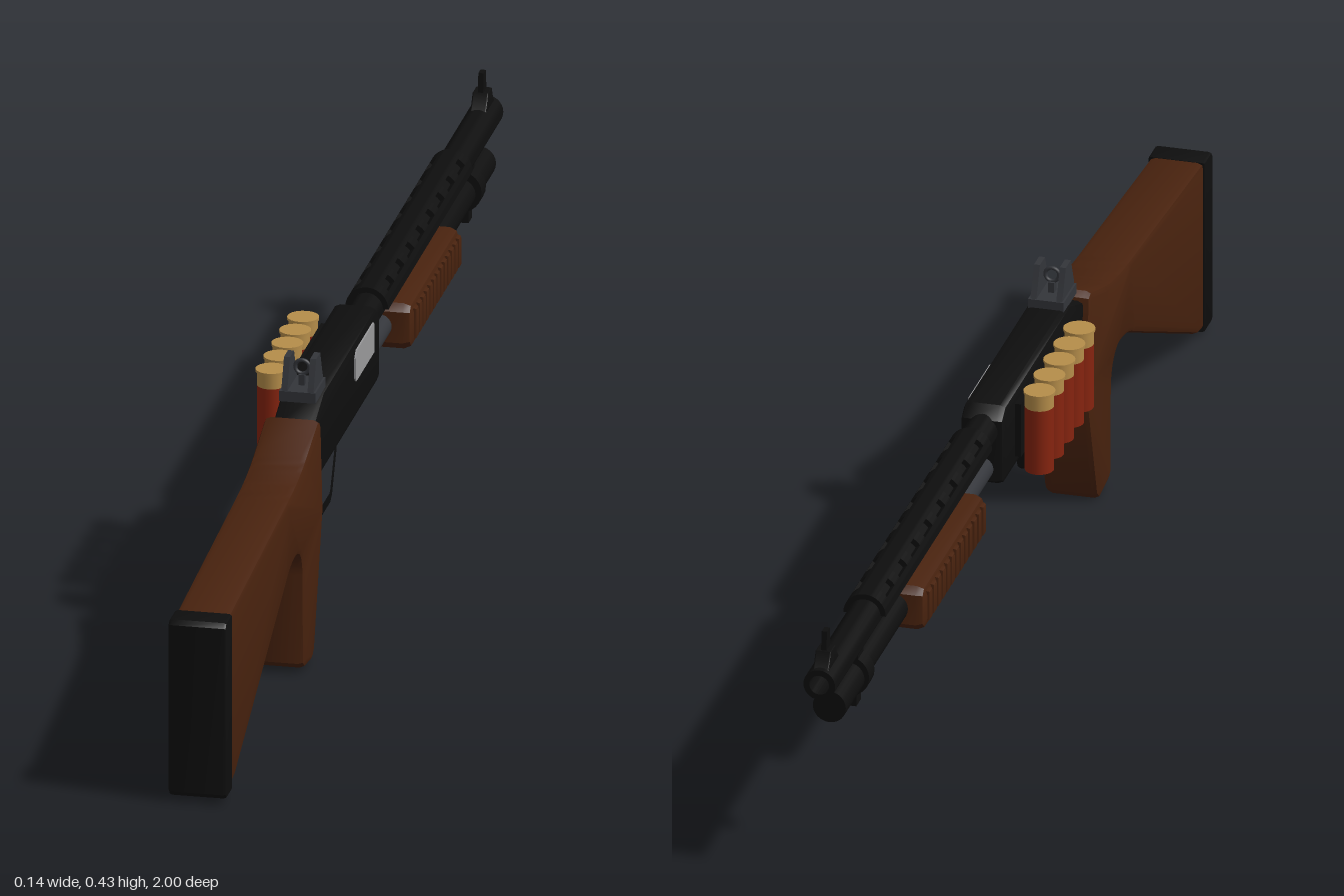
import * as THREE from 'three';
import { toCreasedNormals } from 'three/addons/utils/BufferGeometryUtils.js';

const CX = 0.0165; // x of the bore line
const mat = (name, color, extra = {}) => {
  const m = new THREE.MeshStandardMaterial({ color, ...extra });
  m.name = name;
  return m;
};

export function createModel() {
  const group = new THREE.Group();
  const black = mat('blackSteel', 0x0e0e0e);
  const wood = mat('walnut', 0x48220e);
  const steel = mat('darkGreySteel', 0x33353a);
  const silver = mat('silverBolt', 0x98989a);
  const brass = mat('brass', 0xb58d4a);
  const red = mat('redHull', 0x86240f);

  const add = (name, geo, material, x = 0, y = 0, z = 0) => {
    const m = new THREE.Mesh(geo, material);
    m.name = name;
    m.position.set(x, y, z);
    group.add(m);
    return m;
  };
  const poly = (pts) => new THREE.Shape(pts.map(([z, y]) => new THREE.Vector2(z, y)));
  // Side profile in (z, y), given thickness across x, with chamfered edges
  const slab = (name, shape, width, bevel, material, x = CX) => {
    const geo = new THREE.ExtrudeGeometry(shape, {
      depth: width - 2 * bevel, bevelEnabled: bevel > 0, bevelSize: bevel, bevelThickness: bevel,
      bevelOffset: -bevel, bevelSegments: 2, curveSegments: 10,
    });
    geo.translate(0, 0, -(width - 2 * bevel) / 2);
    geo.rotateY(-Math.PI / 2);
    return add(name, toCreasedNormals(geo, 0.6), material, x);
  };
  // Round bar along z
  const bar = (name, r, z0, z1, y, material, seg = 24) => {
    const geo = new THREE.CylinderGeometry(r, r, Math.abs(z1 - z0), seg);
    geo.rotateX(Math.PI / 2);
    return add(name, geo, material, CX, y, (z0 + z1) / 2);
  };
  const box = (name, w, h, d, material, x, y, z) => add(name, new THREE.BoxGeometry(w, h, d), material, x, y, z);

  // Stock with pistol grip
  const stock = new THREE.Shape();
  stock.moveTo(0.96, 0.28);
  stock.lineTo(0.56, 0.308);
  stock.quadraticCurveTo(0.47, 0.314, 0.42, 0.332);
  stock.lineTo(0.345, 0.356);
  stock.lineTo(0.332, 0.35);
  stock.lineTo(0.318, 0.21);
  stock.lineTo(0.378, 0.012);
  stock.lineTo(0.392, 0);
  stock.lineTo(0.44, 0.006);
  stock.lineTo(0.452, 0.016);
  stock.lineTo(0.455, 0.155);
  stock.quadraticCurveTo(0.458, 0.197, 0.5, 0.2);
  stock.quadraticCurveTo(0.545, 0.2, 0.58, 0.18);
  stock.lineTo(0.93, 0.016);
  stock.lineTo(0.96, 0.012);
  slab('stock', stock, 0.083, 0.01, wood);
  slab('buttPad', poly([[1, 0.274], [0.994, 0.281], [0.955, 0.281], [0.955, 0.008], [0.994, 0.008], [1, 0.015]]),
    0.087, 0.005, black);

  // Receiver, ejection port and trigger group
  slab('receiver', poly([[0.337, 0.343], [0.265, 0.371], [-0.09, 0.371], [-0.112, 0.355], [-0.112, 0.258],
    [-0.1, 0.25], [0.31, 0.25], [0.322, 0.262]]), 0.066, 0.011, black);
  slab('ejectionPort', poly([[0.07, 0.319], [0.065, 0.313], [-0.06, 0.313], [-0.06, 0.354], [-0.055, 0.36],
    [0.06, 0.36], [0.07, 0.35]]), 0.006, 0, silver, CX + 0.0325);
  const guard = poly([[0.312, 0.256], [0.302, 0.225], [0.268, 0.165], [0.252, 0.154], [0.15, 0.154],
    [0.138, 0.162], [0.106, 0.222], [0.106, 0.256]]);
  guard.holes.push(poly([[0.294, 0.245], [0.286, 0.225], [0.256, 0.175], [0.246, 0.169], [0.156, 0.169],
    [0.149, 0.175], [0.122, 0.225], [0.122, 0.245]]));
  slab('triggerGuard', guard, 0.03, 0.002, black);
  slab('trigger', poly([[0.212, 0.255], [0.204, 0.225], [0.206, 0.2], [0.198, 0.198], [0.19, 0.222],
    [0.19, 0.255]]), 0.012, 0.001, steel);

  // Barrel with open muzzle
  const bore = [[0.015, -0.1], [0.015, 0], [0.024, 0], [0.024, -0.9], [0, -0.9]];
  const barrelGeo = new THREE.LatheGeometry(bore.map(([r, h]) => new THREE.Vector2(r, h)).reverse(), 28);
  barrelGeo.rotateX(-Math.PI / 2);
  add('barrel', toCreasedNormals(barrelGeo, 0.6), black, CX, 0.337, -1);
  bar('boreFloor', 0.0155, -0.895, -0.9, 0.337, black);

  // Slotted heat shield over the barrel
  const arc = (name, a0, a1, z0, z1) => {
    const s = new THREE.Shape();
    const r = Math.PI / 180;
    s.absarc(0, 0, 0.032, a0 * r, a1 * r, false);
    s.absarc(0, 0, 0.0235, a1 * r, a0 * r, true);
    const geo = new THREE.ExtrudeGeometry(s, { depth: z1 - z0, bevelEnabled: false, curveSegments: 8 });
    add(name, toCreasedNormals(geo, 0.6), black, CX, 0.337, z0);
  };
  arc('shieldCrown', 60, 120, -0.752, -0.17);
  arc('shieldSkirtLeft', 0, 35, -0.752, -0.17);
  arc('shieldSkirtRight', 145, 180, -0.752, -0.17);
  for (let i = 0; i < 9; i++) {
    const z0 = -0.752 + i * 0.0694;
    arc('shieldBridgeLeft', 35, 60, z0, z0 + 0.027);
    arc('shieldBridgeRight', 120, 145, z0, z0 + 0.027);
  }

  // Magazine tube, cap and barrel clamp
  bar('magazineTube', 0.018, -0.1, -0.62, 0.277, steel);
  bar('magazineSleeve', 0.023, -0.59, -0.83, 0.277, black);
  bar('magazineCap', 0.025, -0.842, -0.945, 0.277, black);
  bar('clampRing', 0.032, -0.813, -0.843, 0.28, black);
  box('clampBridge', 0.03, 0.05, 0.03, black, CX, 0.315, -0.828);
  box('clampLug', 0.024, 0.03, 0.026, black, CX, 0.246, -0.828);

  // Pump fore-end with ribbed sides
  slab('pump', poly([[-0.258, 0.3], [-0.268, 0.311], [-0.588, 0.311], [-0.598, 0.3], [-0.598, 0.252],
    [-0.585, 0.24], [-0.27, 0.24], [-0.258, 0.252]]), 0.096, 0.014, wood);
  const PITCH = 0.0245;
  for (let i = 0; i < 13; i++) {
    const z = -0.281 - i * PITCH;
    slab('pumpRib', poly([[z + 0.008, 0.255], [z + 0.008, 0.302], [z - 0.008, 0.302], [z - 0.008, 0.255]]),
      0.105, 0.004, wood);
  }

  // Shells in the side carrier
  box('shellCarrier', 0.012, 0.085, 0.26, black, -0.0195, 0.313, 0.082);
  for (let i = 0; i < 5; i++) {
    const z = -0.027 + i * 0.0545;
    add('shellHull', new THREE.CylinderGeometry(0.0215, 0.0215, 0.102, 20), red, -0.0475, 0.296, z);
    add('shellBase', new THREE.CylinderGeometry(0.0215, 0.0215, 0.022, 20), brass, -0.0475, 0.358, z);
    add('shellRim', new THREE.CylinderGeometry(0.0235, 0.0235, 0.004, 20), brass, -0.0475, 0.37, z);
  }

  // Rear ring sight with guard ears
  box('rearSightBase', 0.054, 0.016, 0.07, steel, CX, 0.376, 0.275);
  for (const s of [-1, 1]) {
    slab('rearSightEar', poly([[0.31, 0.38], [0.306, 0.392], [0.29, 0.43], [0.262, 0.43], [0.25, 0.4],
      [0.24, 0.38]]), 0.009, 0, steel, CX + s * 0.0195);
  }
  add('rearSightRing', new THREE.TorusGeometry(0.0105, 0.003, 8, 24), steel, CX, 0.411, 0.275);
  box('rearSightStem', 0.009, 0.02, 0.012, steel, CX, 0.39, 0.275);

  // Front sight
  slab('frontSightRamp', poly([[-0.93, 0.352], [-0.945, 0.368], [-0.953, 0.382], [-0.978, 0.382],
    [-0.985, 0.368], [-0.997, 0.352]]), 0.024, 0.002, black);
  slab('frontSightPost', poly([[-0.953, 0.38], [-0.957, 0.411], [-0.972, 0.411], [-0.976, 0.38]]), 0.008, 0, black);

  return group;
}
